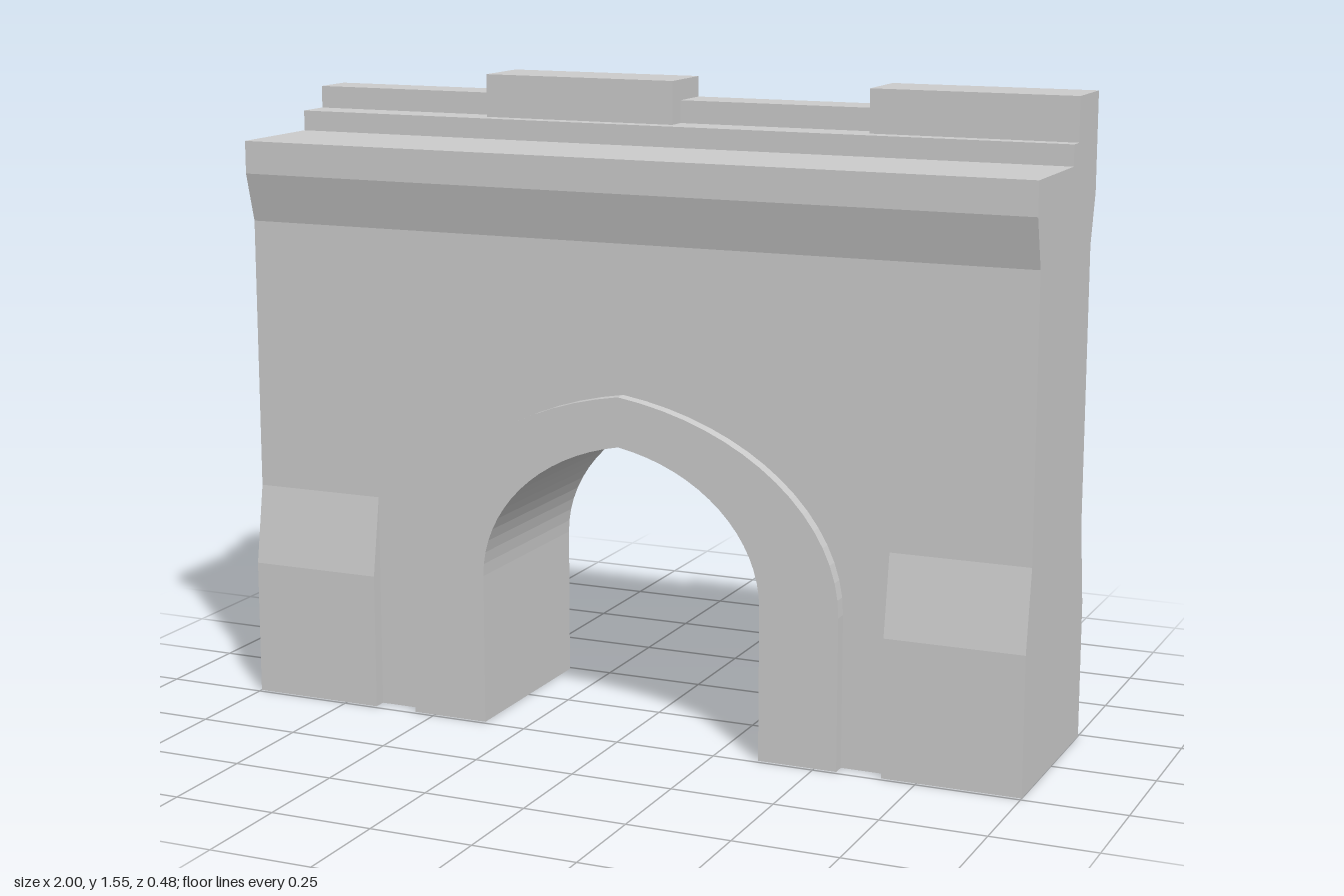
import * as THREE from 'three';

const HALF = 0.24;   // half depth of the projecting parts
const WALL = 0.208;  // half depth of the plain wall
const SPRING = 0.37; // height where the arch starts to curve

const stone = new THREE.MeshStandardMaterial({ color: 0xcccccc, flatShading: true });
stone.name = 'grey stone';

// Pointed arch outline from bottom right, over the apex, to bottom left
function archPoints(halfWidth, apex, offset, n = 16) {
  const rx = halfWidth + offset;
  const end = Math.acos(offset / rx);
  const ry = (apex - SPRING) / Math.sin(end);
  const right = [new THREE.Vector2(halfWidth, 0)];
  for (let i = 0; i <= n; i++) {
    const t = (end * i) / n;
    right.push(new THREE.Vector2(rx * Math.cos(t) - offset, SPRING + ry * Math.sin(t)));
  }
  right[right.length - 1].x = 0;
  const left = right.slice(0, -1).reverse().map(p => new THREE.Vector2(-p.x, p.y));
  return [...right, ...left];
}

// Front-plane outline extruded symmetrically in z
function frontExtrude(points, half) {
  const g = new THREE.ExtrudeGeometry(new THREE.Shape(points), { depth: half * 2, bevelEnabled: false });
  return g.translate(0, 0, -half);
}

// Side profile of [z, y] pairs extruded from x0 to x1
function sideExtrude(profile, x0, x1) {
  const shape = new THREE.Shape(profile.map(([z, y]) => new THREE.Vector2(z, y)));
  const g = new THREE.ExtrudeGeometry(shape, { depth: x1 - x0, bevelEnabled: false });
  return g.rotateY(-Math.PI / 2).translate(x1, 0, 0);
}

export function createModel() {
  const model = new THREE.Group();
  model.name = 'gateWall';
  const add = (name, geometry) => {
    const mesh = new THREE.Mesh(geometry, stone);
    mesh.name = name;
    model.add(mesh);
  };
  const box = (name, x0, x1, y0, y1, z0, z1) => add(name,
    new THREE.BoxGeometry(x1 - x0, y1 - y0, z1 - z0)
      .translate((x0 + x1) / 2, (y0 + y1) / 2, (z0 + z1) / 2));

  const outer = archPoints(0.555, 0.842, 0.14);
  const inner = archPoints(0.36, 0.722, 0.1);
  const v = (x, y) => new THREE.Vector2(x, y);

  // Wall with an opening that holds the arch surround
  add('wall', frontExtrude([v(1, 0), v(1, 1.2), v(-1, 1.2), v(-1, 0), ...outer.slice().reverse()], WALL));
  add('archSurround', frontExtrude([...outer, ...inner.slice().reverse()], HALF));

  // Sloped buttresses at the outer corners, front and back
  for (const [side, x0, x1] of [['left', 0.665, 1], ['right', -1, -0.665]]) {
    add(side + 'FrontButtress', sideExtrude([[WALL, 0], [HALF, 0], [HALF, 0.335], [WALL, 0.53]], x0, x1));
    add(side + 'BackButtress', sideExtrude([[-WALL, 0], [-WALL, 0.53], [-HALF, 0.335], [-HALF, 0]], x0, x1));
  }

  // Flared cornice carrying the walkway
  add('cornice', sideExtrude([[-WALL, 1.2], [WALL, 1.2], [HALF, 1.32], [HALF, 1.4],
    [-HALF, 1.4], [-HALF, 1.32]], -1, 1));

  // Step and parapet with alternating low and raised bays
  box('parapetStep', -1, 1, 1.4, 1.45, -HALF, -0.04);
  for (let i = 0; i < 4; i++) {
    const x = -1 + i * 0.5;
    if (i % 2) box('merlon', x, x + 0.5, 1.45, 1.555, -HALF, -0.08);
    else box('crenel', x, x + 0.5, 1.45, 1.505, -HALF, -0.13);
  }
  return model;
}
